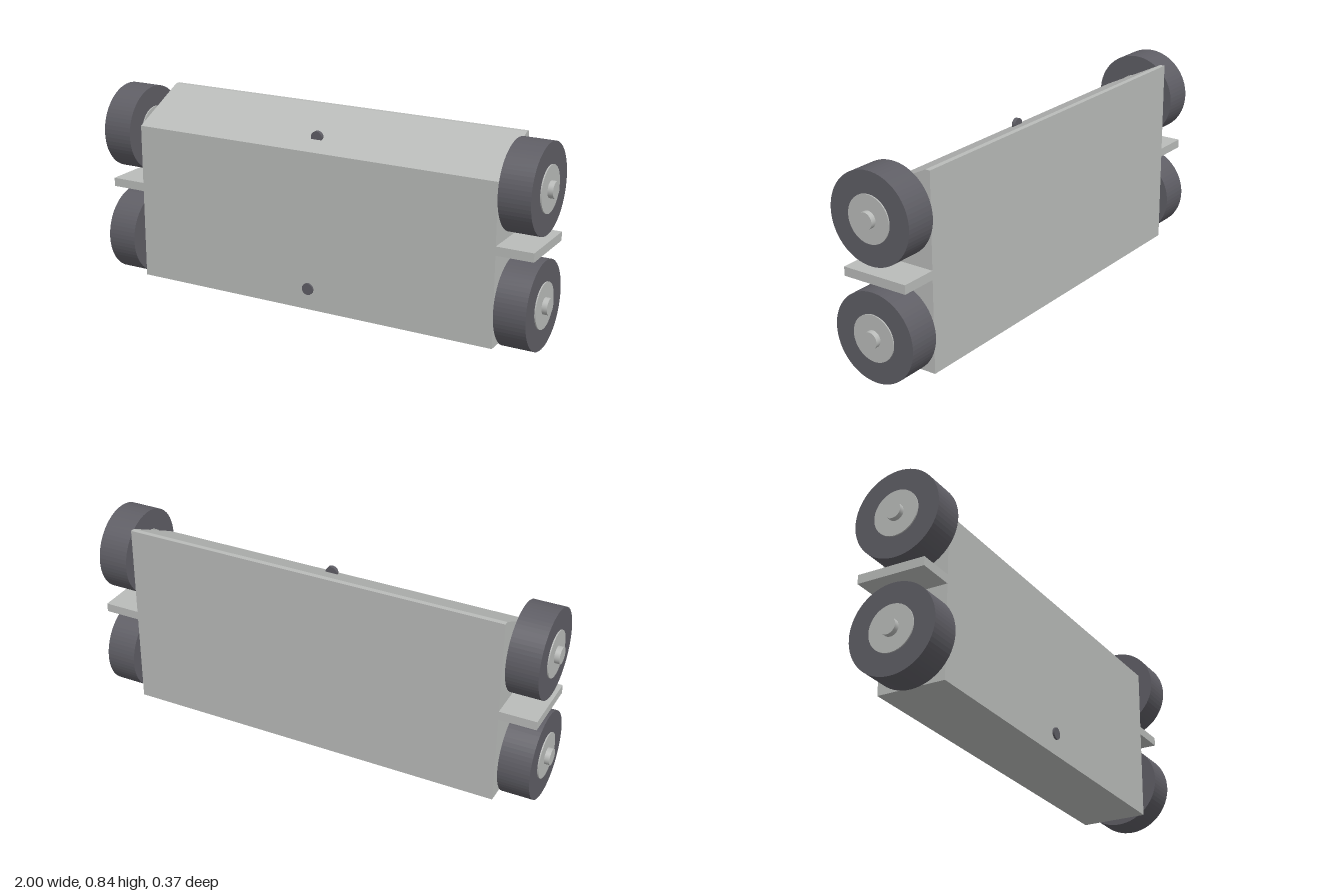
import * as THREE from 'three';

const grey = new THREE.MeshStandardMaterial({ color: 0xbabcba });
grey.name = 'light grey';
const dark = new THREE.MeshStandardMaterial({ color: 0x5f5e65 });
dark.name = 'dark grey';

function add(parent, name, geometry, material, x = 0, y = 0, z = 0) {
  const mesh = new THREE.Mesh(geometry, material);
  mesh.name = name;
  mesh.position.set(x, y, z);
  parent.add(mesh);
  return mesh;
}

// Cylinder lying along x
const disc = (radius, width) => new THREE.CylinderGeometry(radius, radius, width, 64).rotateZ(Math.PI / 2);

// Ring-shaped tyre lying along x, closed by its rectangular section
function tyreGeometry(outer, inner, width) {
  const h = width / 2;
  const shape = new THREE.Shape().absarc(0, 0, outer, 0, Math.PI * 2);
  shape.holes.push(new THREE.Path().absarc(0, 0, inner, 0, Math.PI * 2, true));
  return new THREE.ExtrudeGeometry(shape, { depth: width, bevelEnabled: false, curveSegments: 32 })
    .translate(0, 0, -h).rotateY(Math.PI / 2);
}

export function createModel() {
  const model = new THREE.Group();
  model.name = 'wheeledBox';

  // Body: side profile (-z, y) with a sloping top, extruded across x
  const profile = new THREE.Shape([
    [-0.13, 0.017], [0.157, 0.017], [0.157, 0.823], [0.136, 0.823], [-0.13, 0.692],
  ].map(([x, y]) => new THREE.Vector2(x, y)));
  const bodyGeometry = new THREE.ExtrudeGeometry(profile, { depth: 1.64, bevelEnabled: false })
    .translate(0, 0, -0.82).rotateY(Math.PI / 2);
  add(model, 'body', bodyGeometry, grey);

  // Shelves and wheels on both sides
  for (const side of [-1, 1]) {
    add(model, 'sideShelf', new THREE.BoxGeometry(0.165, 0.037, 0.287), grey, side * 0.8925, 0.419, -0.0135);
    for (const y of [0.183, 0.653]) {
      const wheel = new THREE.Group();
      wheel.name = 'wheel';
      wheel.position.set(side * 0.907, y, 0);
      add(wheel, 'tyre', tyreGeometry(0.183, 0.094, 0.132), dark);
      add(wheel, 'hub', disc(0.095, 0.142), grey);
      add(wheel, 'axle', disc(0.034, 0.186), grey);
      model.add(wheel);
    }
  }

  // Round buttons on the front and on the slope
  const button = new THREE.CylinderGeometry(0.025, 0.025, 0.016, 32).rotateX(Math.PI / 2);
  add(model, 'frontButton', button, dark, 0, 0.108, 0.13);
  add(model, 'slopeButton', button, dark, 0, 0.735, 0.053);
  return model;
}
